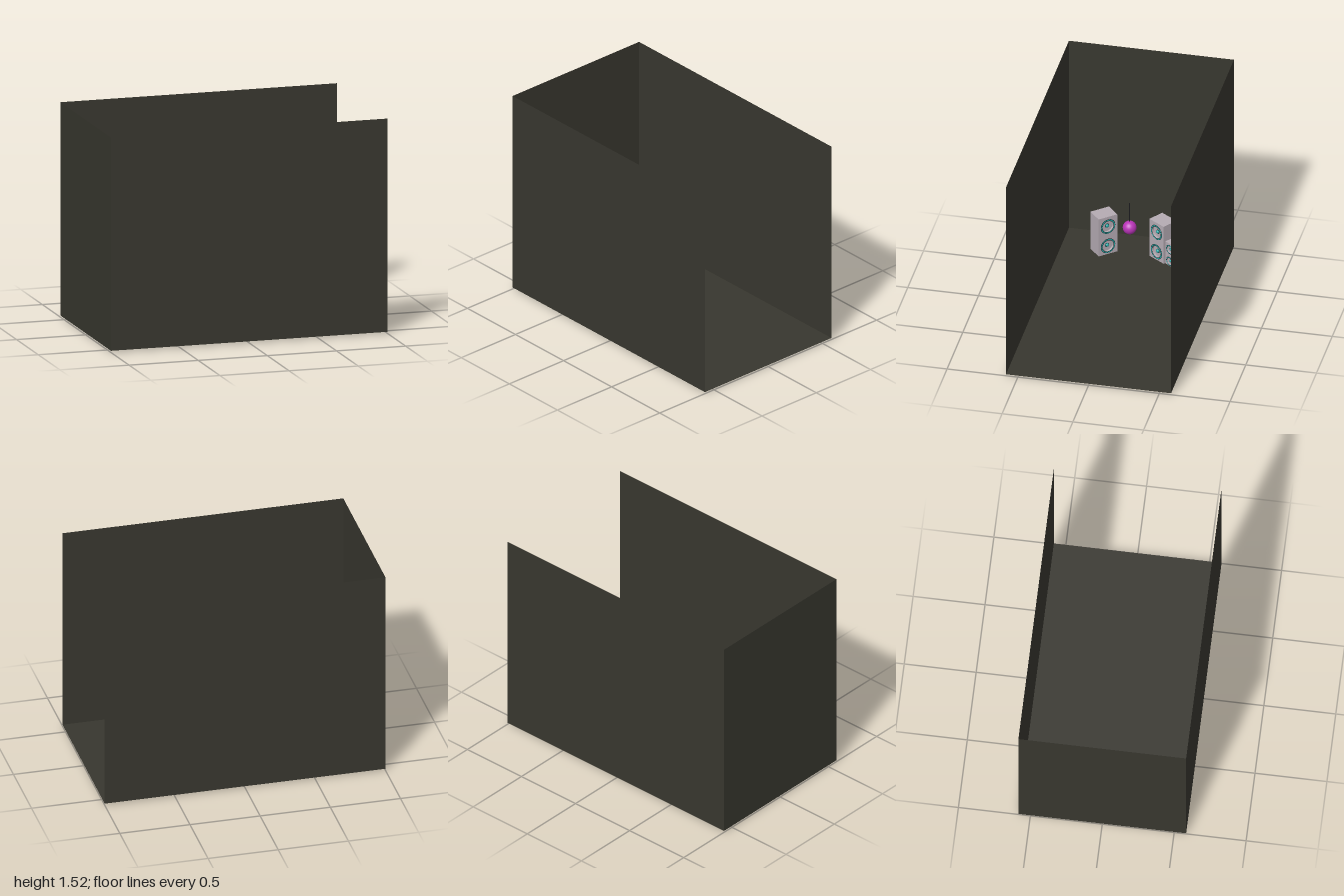
import * as THREE from 'three';

const mat = (name, color, side = THREE.FrontSide) => {
  const m = new THREE.MeshStandardMaterial({ color, side });
  m.name = name;
  return m;
};

export function createModel() {
  const wallMat = mat('charcoal wall', 0x38372f, THREE.DoubleSide);
  const cabinetMat = mat('pale grey cabinet', 0xb5abb3);
  const magenta = mat('magenta', 0xb834b8);
  const teal = mat('teal', 0x1fa3a0);
  const black = mat('near black', 0x1c1c20);

  const model = new THREE.Group();
  model.name = 'listeningRoom';
  const add = (parent, name, geometry, material, x = 0, y = 0, z = 0) => {
    const mesh = new THREE.Mesh(geometry, material);
    mesh.name = name;
    mesh.position.set(x, y, z);
    parent.add(mesh);
    return mesh;
  };

  // Room shell: floor and three walls, open on top and at +x
  const L = 2, H = 1.508, D = 1.166, y0 = 0.012;
  add(model, 'floor', new THREE.PlaneGeometry(L, D).rotateX(-Math.PI / 2), wallMat, 0, y0, 0);
  for (const s of [1, -1]) {
    add(model, s > 0 ? 'frontWall' : 'backWall', new THREE.PlaneGeometry(L, H), wallMat, 0, y0 + H / 2, s * D / 2);
  }
  add(model, 'endWall', new THREE.PlaneGeometry(D, H).rotateY(Math.PI / 2), wallMat, -L / 2, y0 + H / 2, 0);

  // Speaker with two recessed drivers, built facing +z
  const w = 0.146, h = 0.31, d = 0.12, recess = 0.018;
  const driverHeights = [0.078, 0.233];

  function speaker(name, x, z, degrees, scale) {
    const g = new THREE.Group();
    g.name = name;
    add(g, 'cabinet', new THREE.BoxGeometry(w, h, d - recess), cabinetMat, 0, h / 2, -recess / 2);

    // Front panel with driver openings
    const panel = new THREE.Shape([[-w / 2, 0], [w / 2, 0], [w / 2, h], [-w / 2, h]]
      .map(([px, py]) => new THREE.Vector2(px, py)));
    for (const y of driverHeights) panel.holes.push(new THREE.Path().absarc(0, y, 0.046, 0, Math.PI * 2, true));
    add(g, 'frontPanel', new THREE.ExtrudeGeometry(panel, { depth: recess, bevelEnabled: false, curveSegments: 24 }),
      cabinetMat, 0, 0, d / 2 - recess);

    for (const y of driverHeights) {
      const driver = new THREE.Group();
      driver.name = 'driver';
      driver.position.set(0, y, d / 2);
      // Cone dish, rims and dust cap
      const dish = new THREE.LatheGeometry(
        [[0, -0.016], [0.014, -0.016], [0.045, 0]].map(([r, t]) => new THREE.Vector2(r, t)), 32);
      add(driver, 'cone', dish.rotateX(Math.PI / 2), magenta).material = magenta;
      add(driver, 'outerRim', new THREE.RingGeometry(0.053, 0.057, 32), black, 0, 0, 0.001);
      add(driver, 'surround', new THREE.RingGeometry(0.046, 0.054, 32), teal, 0, 0, 0.002);
      add(driver, 'innerRim', new THREE.RingGeometry(0.043, 0.0465, 32), black, 0, 0, 0.0025);
      add(driver, 'capRim', new THREE.RingGeometry(0.011, 0.016, 24), black, 0, 0, -0.0135);
      add(driver, 'dustCap', new THREE.SphereGeometry(0.013, 20, 12), teal, 0, 0, -0.013);
      g.add(driver);
    }
    g.position.set(x, 0, z);
    g.rotation.y = THREE.MathUtils.degToRad(degrees);
    g.scale.setScalar(scale);
    model.add(g);
  }
  speaker('backSpeaker', -0.763, -0.134, 55, 1);
  speaker('frontSpeaker', -0.763, 0.284, 131, 1);
  speaker('smallSpeaker', -0.685, -0.2265, 54, 0.61);

  // Hanging ball on its cord
  add(model, 'ball', new THREE.SphereGeometry(0.048, 32, 20), magenta, -0.68, 0.269, 0.083);
  add(model, 'cord', new THREE.CylinderGeometry(0.003, 0.003, 0.155, 8), black, -0.68, 0.388, 0.083);

  return model;
}
